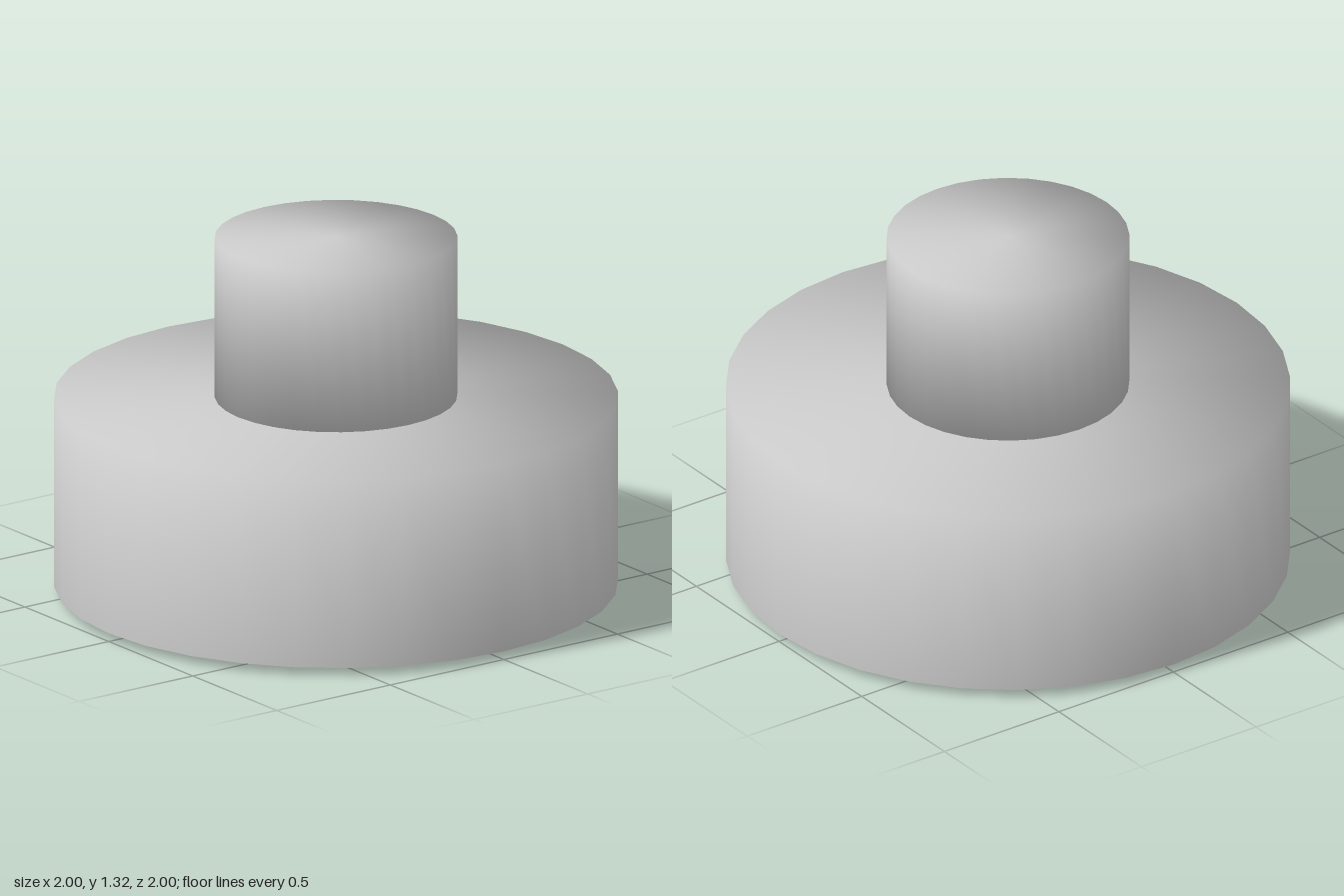
import * as THREE from 'three';

const SIDES = 32;

// Turned surface from [radius, height, outward normal, upward normal] rows
function turned(name, profile, material) {
  const points = profile.map(([r, y]) => new THREE.Vector2(r, y));
  const geometry = new THREE.LatheGeometry(points, SIDES);
  const normals = geometry.attributes.normal;
  for (let k = 0; k < normals.count; k++) {
    const [, , out, up] = profile[k % profile.length];
    const angle = Math.floor(k / profile.length) / SIDES * Math.PI * 2;
    const length = Math.hypot(out, up);
    normals.setXYZ(k, out * Math.sin(angle) / length, up / length, out * Math.cos(angle) / length);
  }
  const mesh = new THREE.Mesh(geometry, material);
  mesh.name = name;
  return mesh;
}

export function createModel() {
  const group = new THREE.Group();
  group.name = 'stemmedCap';
  const material = new THREE.MeshStandardMaterial({ color: 0xcccccc });

  // Outer wall and top of the hollow cup
  group.add(turned('cupOutside', [
    [1, 0.03, 1, 0], [1, 0.725, 1.41, 1], [0, 0.725, 0, 1],
  ], material));

  // Rim sloping down to the opening
  group.add(turned('rim', [
    [0.81, 0, -0.4, -1], [1, 0.03, 0.16, -1],
  ], material));

  // Deep cavity under a thin top
  group.add(turned('cupInside', [
    [0, 0.7, 0, -1], [0.81, 0.7, -1.41, -1], [0.81, 0, -1, -0.4],
  ], material));

  // Solid round stem on top
  group.add(turned('stem', [
    [0, 0.715, 0, -1], [0.43, 0.715, 1.41, -1], [0.43, 1.315, 1.41, 1], [0, 1.315, 0, 1],
  ], material));

  return group;
}
